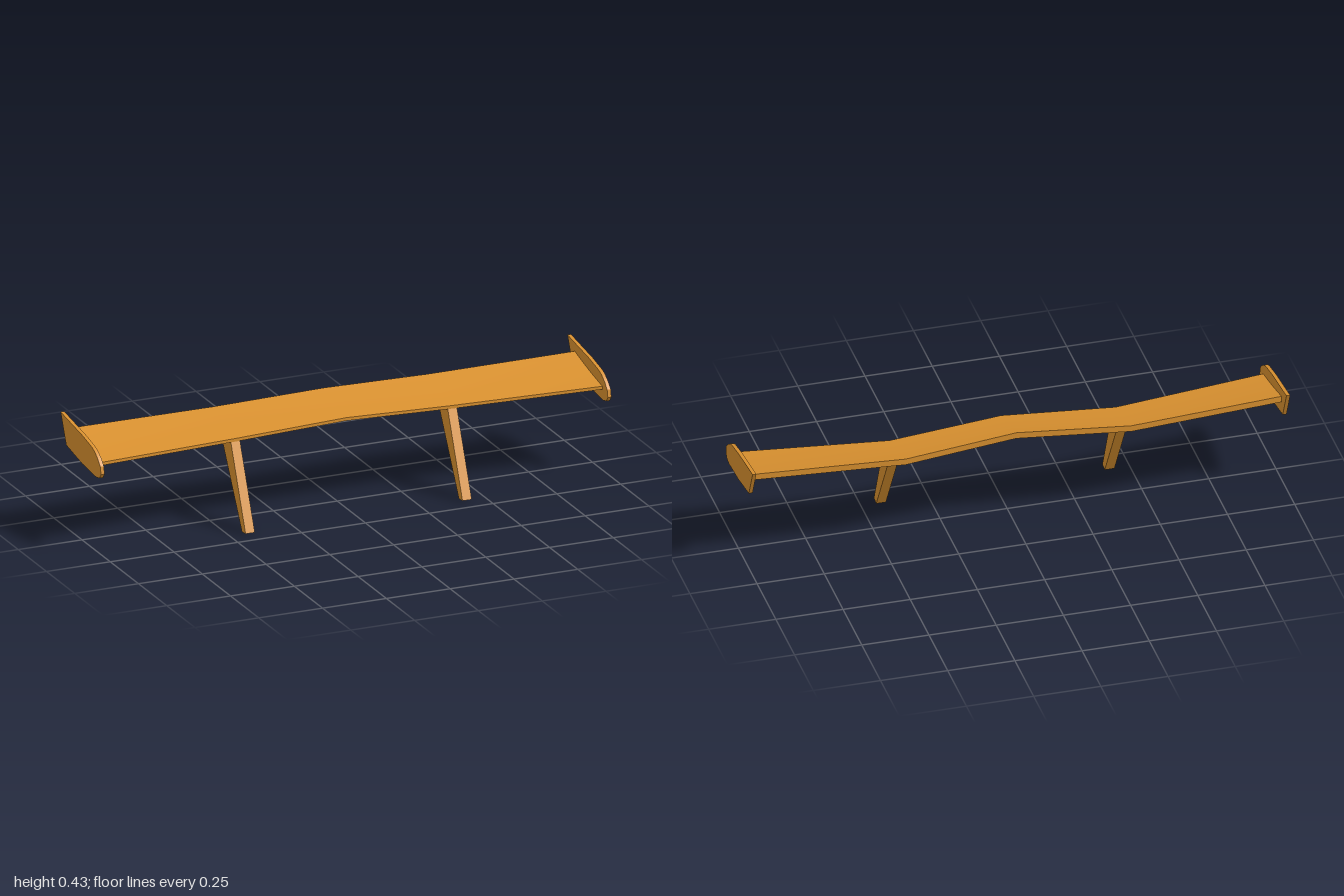
import * as THREE from 'three';
import { toCreasedNormals } from 'three/addons/utils/BufferGeometryUtils.js';

const paint = new THREE.MeshStandardMaterial({ color: 0xd8902f });

// Plate with a side outline of [z, y] points, centred on the given x
function sidePlate(name, outline, thickness, x) {
  const shape = new THREE.Shape(outline.map(([z, y]) => new THREE.Vector2(z, y)));
  const geo = new THREE.ExtrudeGeometry(shape, { depth: thickness, bevelEnabled: false });
  geo.rotateY(-Math.PI / 2).translate(x + thickness / 2, 0, 0);
  const mesh = new THREE.Mesh(toCreasedNormals(geo, 0.5), paint);
  mesh.name = name;
  return mesh;
}

// Blade lofted through stations: x, front z, back z, front bottom y, back top y
function wingBlade() {
  const half = [
    [0, 0.08, -0.12, 0.333, 0.392],
    [0.42, 0.06, -0.153, 0.31, 0.371],
    [0.99, 0.12, -0.125, 0.32, 0.384],
  ];
  const stations = [...half.slice(1).reverse().map(([x, ...r]) => [-x, ...r]), ...half];
  const steps = 8, frontThick = 0.012, backThick = 0.024;
  const sections = stations.map(([x, zF, zB, yF, yB]) => {
    const top = [], bottom = [];
    for (let i = 0; i <= steps; i++) {
      const s = i / steps, z = zF + (zB - zF) * s;
      const rise = 0.75 * s + 0.25 * s * s; // gentle concave sweep
      const y = yF + frontThick + (yB - yF - frontThick) * rise;
      top.push([x, y, z]);
      bottom.unshift([x, y - frontThick - (backThick - frontThick) * s, z]);
    }
    return [...top, ...bottom];
  });
  const n = sections[0].length, index = [];
  for (let i = 0; i < sections.length - 1; i++) {
    for (let j = 0; j < n; j++) {
      const a = i * n + j, b = i * n + (j + 1) % n;
      index.push(a, a + n, b, b, a + n, b + n);
    }
  }
  const geo = new THREE.BufferGeometry();
  geo.setAttribute('position', new THREE.Float32BufferAttribute(sections.flat(2), 3));
  geo.setIndex(index);
  const mesh = new THREE.Mesh(toCreasedNormals(geo, 0.6), paint);
  mesh.name = 'wingBlade';
  return mesh;
}

export function createModel() {
  const model = new THREE.Group();
  model.name = 'rearWing';
  model.add(wingBlade());

  const plateOutline = [
    [0.168, 0.305], [0.162, 0.333], [0.14, 0.355], [0.113, 0.373], [0.088, 0.383],
    [0, 0.4], [-0.19, 0.425], [-0.14, 0.315], [0, 0.291], [0.127, 0.281], [0.155, 0.287],
  ];
  const strutOutline = [[0.19, 0.004], [0.056, 0.317], [-0.043, 0.335], [0.158, 0]];

  // Mirrored end plates and raked struts
  for (const [side, label] of [[1, 'left'], [-1, 'right']]) {
    model.add(sidePlate(label + 'EndPlate', plateOutline, 0.014, side * 0.993));
    model.add(sidePlate(label + 'Strut', strutOutline, 0.036, side * 0.425));
  }
  return model;
}
